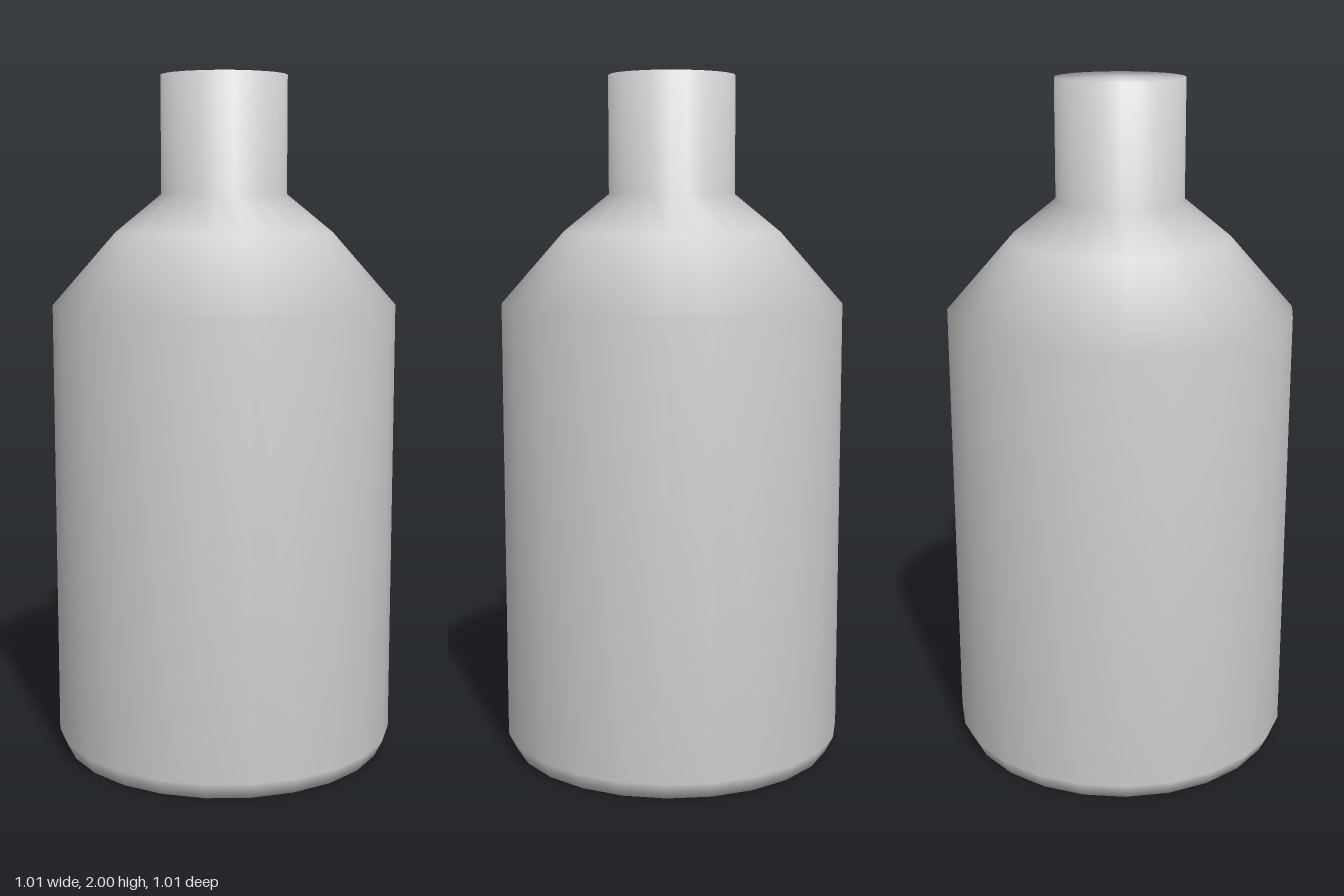
import * as THREE from 'three';

export function createModel() {
  const group = new THREE.Group();
  group.name = 'bottle';

  const grey = new THREE.MeshStandardMaterial({ color: 0xcccccc });
  grey.name = 'plain grey';

  // Profile from base centre, over bevel, wall, shoulder and neck, to the closed top
  const profile = [
    [0, 0], [0.48, 0], [0.505, 0.05], [0.505, 1.34],
    [0.32, 1.55], [0.185, 1.66], [0.185, 2], [0, 2],
  ].map(([r, y]) => new THREE.Vector2(r, y));

  // Smooth 24-sided turned body
  const body = new THREE.Mesh(new THREE.LatheGeometry(profile, 24), grey);
  body.name = 'bottleBody';
  group.add(body);

  return group;
}
